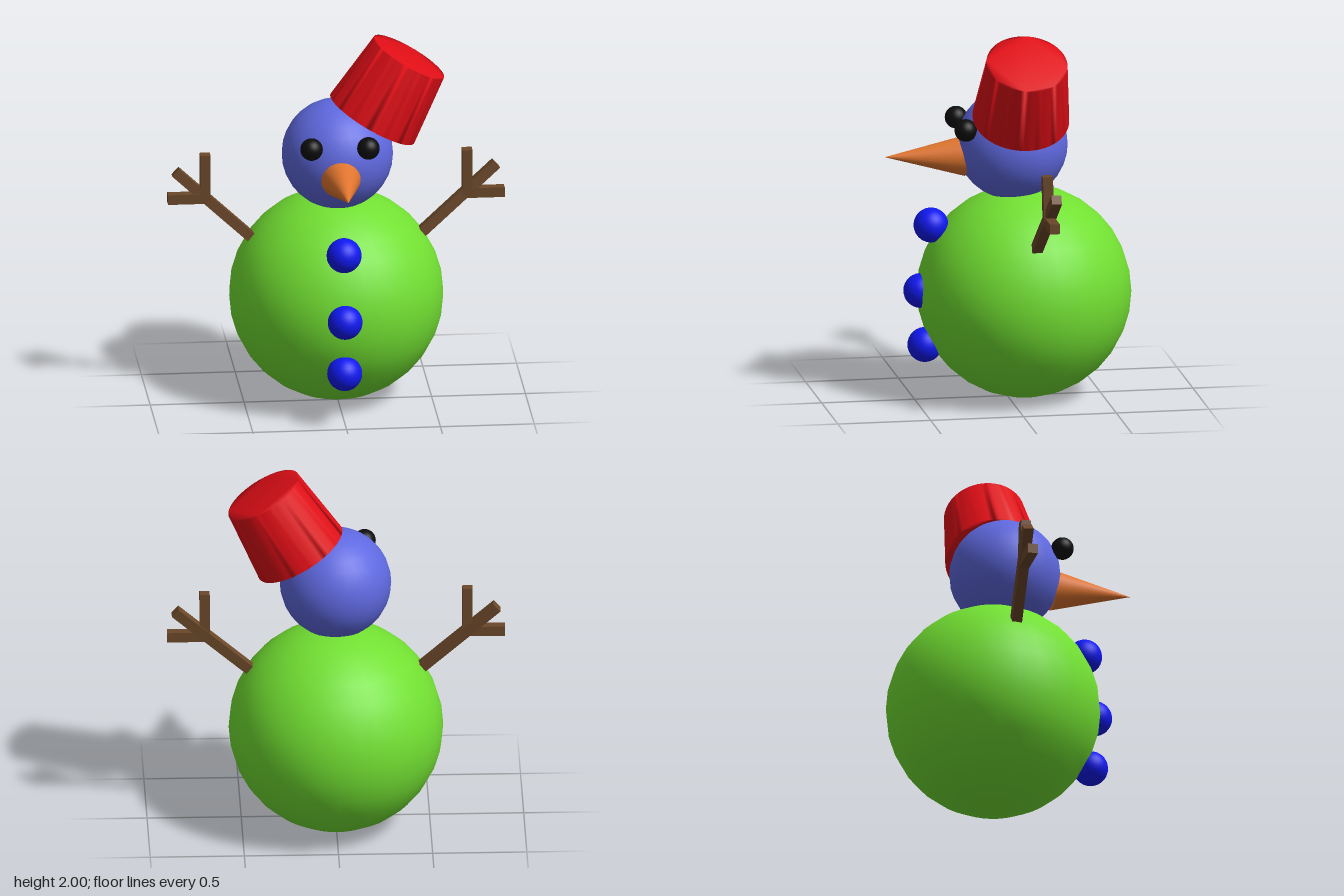
import * as THREE from 'three';
import { mergeVertices } from 'three/addons/utils/BufferGeometryUtils.js';

const mat = (color) => new THREE.MeshStandardMaterial({ color });

export function createModel() {
  const model = new THREE.Group();
  model.name = 'snowman';

  const add = (name, geometry, material, x = 0, y = 0, z = 0, parent = model) => {
    const mesh = new THREE.Mesh(geometry, material);
    mesh.name = name;
    mesh.position.set(x, y, z);
    parent.add(mesh);
    return mesh;
  };
  const ball = (name, r, material, x, y, z) =>
    add(name, new THREE.SphereGeometry(r, 32, 16), material, x, y, z);

  // Body and head
  ball('body', 0.57, mat(0x72e032), 0, 0.57, -0.09);
  ball('head', 0.296, mat(0x5f69e0), 0, 1.373, -0.025);

  // Eyes
  const black = mat(0x0c0c0c);
  ball('rightEye', 0.06, black, -0.163, 1.49, 0.248);
  ball('leftEye', 0.06, black, 0.14, 1.487, 0.248);

  // Buttons down the front
  const blue = mat(0x1018f0);
  [[0.945, 0.41], [0.59, 0.465], [0.295, 0.443]].forEach(([y, z], i) =>
    ball('button' + (i + 1), 0.093, blue, -0.005, y, z));

  // Nose: cone pointing forward
  const nose = add('nose', new THREE.ConeGeometry(0.108, 0.43, 32), mat(0xe0752f), -0.005, 1.32, 0.445);
  nose.rotation.x = Math.PI / 2 - 0.02;

  // Hat: tapered bucket with soft normals over its rims, tipped to the left
  const hatHeight = 0.39, rBottom = 0.258, rTop = 0.216;
  const circle = new THREE.Shape().absarc(0, 0, 1, 0, Math.PI * 2);
  let hatGeo = new THREE.ExtrudeGeometry(circle, { depth: hatHeight, bevelEnabled: false, curveSegments: 32 });
  const p = hatGeo.attributes.position;
  for (let i = 0; i < p.count; i++) {
    const r = THREE.MathUtils.lerp(rBottom, rTop, p.getZ(i) / hatHeight);
    p.setXY(i, p.getX(i) * r, p.getY(i) * r);
  }
  hatGeo.rotateX(-Math.PI / 2);
  hatGeo.deleteAttribute('uv');
  hatGeo.deleteAttribute('normal');
  hatGeo = mergeVertices(hatGeo, 1e-4);
  hatGeo.computeVertexNormals();
  const hat = add('hat', hatGeo, mat(0xe00e16), 0.188, 1.555, -0.04);
  hat.rotation.z = -Math.PI / 6;

  // Arms: square sticks, each a long beam with two twigs
  const brown = mat(0x6b482a);
  const up = new THREE.Vector3(0, 1, 0);
  const stick = (parent, name, from, to) => {
    const a = new THREE.Vector3(...from), b = new THREE.Vector3(...to);
    const dir = b.clone().sub(a);
    const mid = a.clone().add(b).multiplyScalar(0.5);
    const mesh = add(name, new THREE.BoxGeometry(0.054, dir.length(), 0.054), brown, mid.x, mid.y, mid.z, parent);
    mesh.quaternion.setFromUnitVectors(up, dir.normalize());
  };
  for (const [name, s, lift] of [['leftArm', 1, 0], ['rightArm', -1, 0.012]]) {
    const arm = new THREE.Group();
    arm.name = name;
    model.add(arm);
    stick(arm, 'branch', [s * 0.455, 0.9, -0.08], [s * 0.855, 1.258 + lift / 2, -0.117]);
    stick(arm, 'upperTwig', [s * 0.698, 1.1 + lift, -0.1], [s * 0.698, 1.352 + lift, -0.093]);
    stick(arm, 'outerTwig', [s * 0.69, 1.108 + lift, -0.1], [s * 0.897, 1.108 + lift, -0.1]);
  }

  return model;
}
